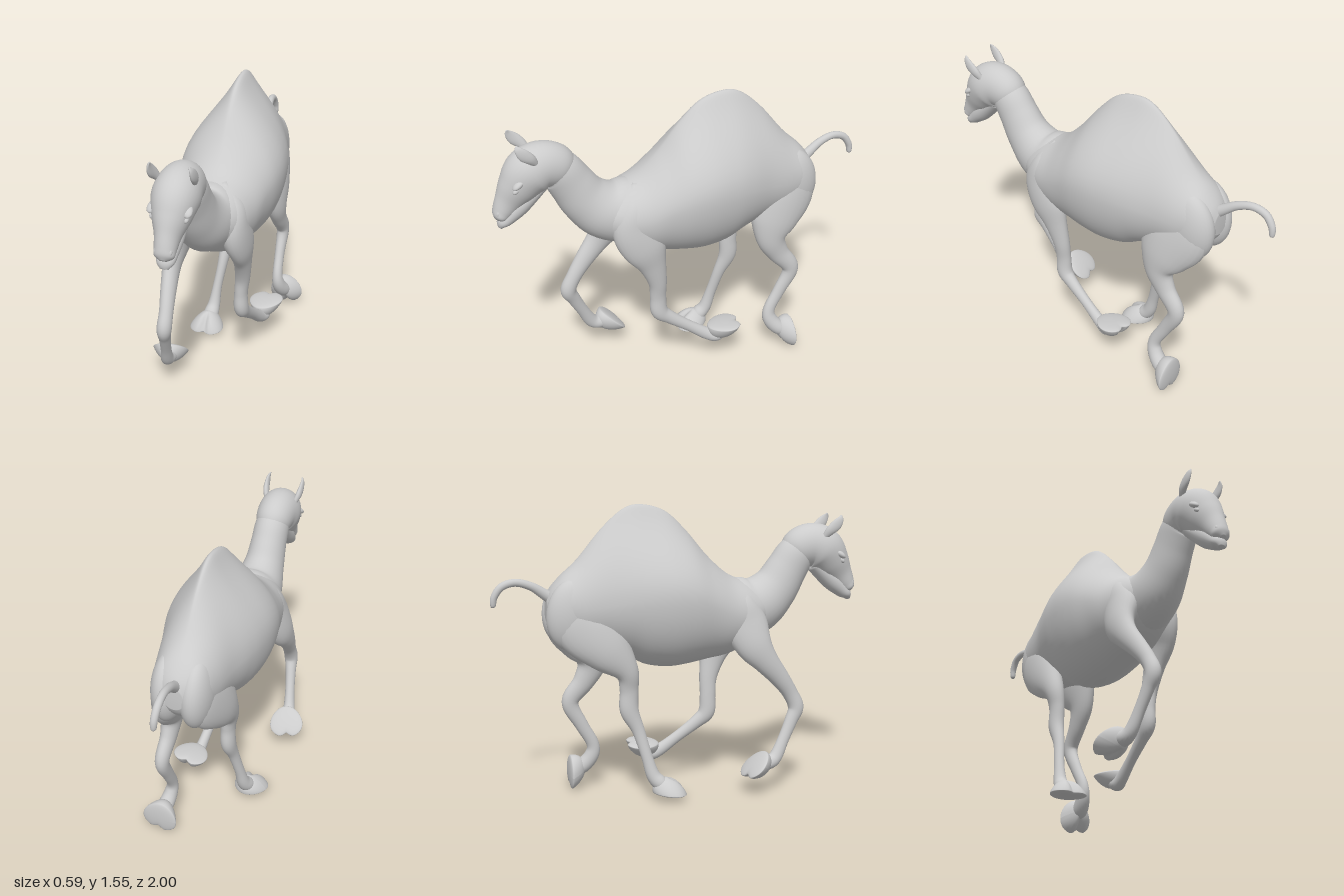
import * as THREE from 'three';

const material = new THREE.MeshStandardMaterial({ color: 0xcccccc, roughness: 0.8 });
const CX = 0.018; // centre line of trunk and head

// Catmull-Rom interpolation of whole rows of numbers
function refine(rows, steps) {
  const out = [];
  const at = (i) => rows[Math.max(0, Math.min(rows.length - 1, i))];
  for (let i = 0; i < rows.length - 1; i++) {
    for (let k = 0; k < steps; k++) {
      const t = k / steps;
      out.push(rows[i].map((b, c) => {
        const a = at(i - 1)[c], d = at(i + 1)[c], e = at(i + 2)[c];
        return 0.5 * (2 * b + (d - a) * t + (2 * a - 5 * b + 4 * d - e) * t * t
          + (3 * b - a - 3 * d + e) * t * t * t);
      }));
    }
  }
  out.push(rows[rows.length - 1]);
  return out;
}

// Closed smooth skin over rings of points
function skin(name, rings) {
  const n = rings[0].length, pos = [], idx = [];
  rings.forEach((r) => r.forEach((p) => pos.push(p.x, p.y, p.z)));
  for (let i = 0; i < rings.length - 1; i++) {
    for (let j = 0; j < n; j++) {
      const a = i * n + j, b = i * n + (j + 1) % n;
      idx.push(a, b, a + n, b, b + n, a + n);
    }
  }
  [0, rings.length - 1].forEach((ri) => {
    const c = new THREE.Vector3();
    rings[ri].forEach((p) => c.addScaledVector(p, 1 / n));
    const ci = pos.length / 3;
    pos.push(c.x, c.y, c.z);
    for (let j = 0; j < n; j++) {
      const a = ri * n + j, b = ri * n + (j + 1) % n;
      if (ri === 0) idx.push(ci, b, a); else idx.push(ci, a, b);
    }
  });
  const geo = new THREE.BufferGeometry();
  geo.setAttribute('position', new THREE.Float32BufferAttribute(pos, 3));
  geo.setIndex(idx);
  geo.computeVertexNormals();
  const mesh = new THREE.Mesh(geo, material);
  mesh.name = name;
  return mesh;
}

// Limb from rows [x, y, z, sideways radius, fore-aft radius]
function limb(name, rows, sides = 24) {
  const fine = refine(rows, 6);
  const pts = fine.map((r) => new THREE.Vector3(r[0], r[1], r[2]));
  return skin(name, fine.map((r, i) => {
    const t = pts[Math.min(i + 1, pts.length - 1)].clone().sub(pts[Math.max(i - 1, 0)]).normalize();
    const side = new THREE.Vector3(1, 0, 0).addScaledVector(t, -t.x).normalize();
    const nrm = t.clone().cross(side);
    return Array.from({ length: sides }, (_, j) => {
      const a = j / sides * Math.PI * 2;
      return pts[i].clone()
        .addScaledVector(side, Math.cos(a) * Math.max(r[3], 0.003))
        .addScaledVector(nrm, Math.sin(a) * Math.max(r[4], 0.003));
    });
  }));
}

// Trunk from rows [z, top, bottom, widest height, half width, ridge sharpness]
function trunk(rows) {
  const n = 64;
  return skin('trunk', refine(rows, 6).map(([z, top, bot, mid, hw, p]) =>
    Array.from({ length: n }, (_, j) => {
      const a = j / n * Math.PI * 2, c = Math.cos(a), s = Math.sin(a);
      const ridge = 0.72 * Math.sign(c) * Math.pow(Math.abs(c), p) + 0.28 * c;
      return new THREE.Vector3(CX + hw * (s > 0 ? ridge : c), mid + s * (s > 0 ? top - mid : mid - bot), z);
    })));
}

// Broad two-toed pad: domed above, flat below, notched between the toes
function foot(name, centre, up, forward) {
  const geo = new THREE.SphereGeometry(1, 32, 24);
  const p = geo.attributes.position;
  for (let i = 0; i < p.count; i++) {
    const x = p.getX(i), y = p.getY(i), z = p.getZ(i);
    const groove = Math.exp(-((x / 0.2) ** 2)) * Math.max(z, 0);
    const dome = y > 0 ? 0.08 * y ** 1.15 * (1 - 0.5 * groove) : 0.016 * y;
    const width = (0.094 + 0.016 * z) * (1 - 0.25 * Math.max(y, 0));
    p.setXYZ(i, x * width, dome, z * 0.092 * (1 - 0.28 * groove) - Math.max(y, 0) * 0.02);
  }
  geo.computeVertexNormals();
  const mesh = new THREE.Mesh(geo, material);
  const f = new THREE.Vector3(...forward).normalize();
  const side = new THREE.Vector3(...up).cross(f).normalize();
  mesh.quaternion.setFromRotationMatrix(new THREE.Matrix4().makeBasis(side, f.clone().cross(side), f));
  mesh.position.set(...centre);
  mesh.name = name;
  return mesh;
}

function blob(name, centre, size, rotation = [0, 0, 0]) {
  const mesh = new THREE.Mesh(new THREE.SphereGeometry(1, 32, 20), material);
  mesh.position.set(...centre);
  mesh.scale.set(...size);
  mesh.rotation.set(...rotation);
  mesh.name = name;
  return mesh;
}

export function createModel() {
  const g = new THREE.Group();
  g.name = 'runningCamel';

  // Trunk with hump, and the pad under the chest
  g.add(trunk([
    [-0.715, 1.08, 0.96, 1.01, 0.05, 1], [-0.69, 1.13, 0.92, 1.02, 0.1, 1],
    [-0.64, 1.19, 0.87, 1.03, 0.142, 1], [-0.55, 1.275, 0.82, 1.03, 0.167, 1.4],
    [-0.42, 1.43, 0.8, 1.05, 0.195, 2.4],
    [-0.3, 1.53, 0.76, 1.07, 0.233, 3.6], [-0.2, 1.547, 0.71, 1.08, 0.257, 4],
    [-0.08, 1.51, 0.69, 1.08, 0.27, 3.6], [0.03, 1.41, 0.7, 1.06, 0.262, 2.4],
    [0.14, 1.28, 0.72, 1.02, 0.235, 1.6], [0.25, 1.18, 0.74, 0.97, 0.208, 1.1],
    [0.36, 1.13, 0.79, 0.96, 0.178, 1], [0.46, 1.08, 0.87, 0.98, 0.115, 1],
    [0.52, 1.03, 0.93, 0.98, 0.03, 1]]));
  g.add(blob('chestPad', [CX, 0.82, 0.23], [0.09, 0.075, 0.16], [-0.4, 0, 0]));

  // Neck, head and lower jaw
  g.add(limb('neck', [
    [CX, 0.975, 0.14, 0.1, 0.13], [CX, 0.975, 0.3, 0.15, 0.174], [CX, 1.0, 0.43, 0.137, 0.157],
    [CX, 1.08, 0.53, 0.11, 0.13], [CX, 1.18, 0.597, 0.097, 0.115],
    [CX, 1.265, 0.655, 0.093, 0.106], [CX, 1.3, 0.72, 0.08, 0.09]], 32));
  g.add(limb('head', [
    [CX, 1.26, 0.6, 0.05, 0.05], [CX, 1.285, 0.645, 0.09, 0.1], [CX, 1.31, 0.73, 0.106, 0.12],
    [CX, 1.285, 0.805, 0.112, 0.125], [CX, 1.215, 0.867, 0.09, 0.102], [CX, 1.15, 0.915, 0.062, 0.074],
    [CX, 1.1, 0.95, 0.052, 0.054], [CX, 1.072, 0.97, 0.046, 0.038], [CX, 1.056, 0.982, 0.015, 0.015]], 32));
  g.add(limb('lowerJaw', [
    [CX, 1.215, 0.75, 0.06, 0.04], [CX, 1.12, 0.86, 0.058, 0.052], [CX, 1.065, 0.922, 0.05, 0.042],
    [CX, 1.035, 0.956, 0.042, 0.03], [CX, 1.01, 0.97, 0.02, 0.012]]));

  // Paired face parts and haunches
  for (const s of [1, -1]) {
    const n = s > 0 ? 'left' : 'right';
    g.add(blob(n + 'Eye', [CX + s * 0.074, 1.235, 0.888], [0.017, 0.014, 0.025], [0.7, s * 0.4, 0]));
    g.add(blob(n + 'Brow', [CX + s * 0.076, 1.27, 0.872], [0.028, 0.018, 0.045], [0.6, s * 0.4, 0]));
    g.add(blob(n + 'Nostril', [CX + s * 0.026, 1.11, 0.975], [0.016, 0.026, 0.012], [-0.4, 0, s * 0.4]));
    g.add(limb(n + 'Ear', [
      [CX + s * 0.082, 1.36, 0.785, 0.013, 0.015], [CX + s * 0.095, 1.395, 0.812, 0.016, 0.026],
      [CX + s * 0.1, 1.425, 0.845, 0.013, 0.03], [CX + s * 0.099, 1.455, 0.868, 0.008, 0.019],
      [CX + s * 0.092, 1.475, 0.876, 0.003, 0.004]], 16));
    g.add(blob(n + 'Haunch', [CX + s * 0.074, 1.0, -0.585], [0.083, 0.19, 0.14], [0.15, 0, 0]));
  }

  // Forelegs
  g.add(limb('leftForeleg', [
    [0.07, 1.14, 0.27, 0.02, 0.03], [0.115, 1.03, 0.3, 0.075, 0.09], [0.14, 0.92, 0.31, 0.075, 0.122],
    [0.163, 0.81, 0.27, 0.058, 0.115],
    [0.16, 0.7, 0.23, 0.045, 0.075], [0.15, 0.58, 0.2, 0.039, 0.05], [0.14, 0.48, 0.195, 0.035, 0.044],
    [0.14, 0.385, 0.188, 0.038, 0.046], [0.145, 0.33, 0.13, 0.031, 0.036], [0.155, 0.25, 0.02, 0.026, 0.03],
    [0.165, 0.18, -0.08, 0.031, 0.035], [0.17, 0.165, -0.135, 0.042, 0.036], [0.17, 0.2, -0.18, 0.03, 0.02]]));
  g.add(limb('rightForeleg', [
    [-0.03, 1.14, 0.26, 0.02, 0.03], [-0.08, 1.03, 0.29, 0.075, 0.09], [-0.11, 0.92, 0.32, 0.075, 0.12],
    [-0.145, 0.81, 0.36, 0.06, 0.1],
    [-0.155, 0.72, 0.425, 0.046, 0.07], [-0.145, 0.62, 0.51, 0.04, 0.052], [-0.135, 0.53, 0.575, 0.036, 0.042],
    [-0.135, 0.45, 0.61, 0.038, 0.043], [-0.145, 0.38, 0.58, 0.03, 0.036], [-0.16, 0.28, 0.53, 0.027, 0.032],
    [-0.175, 0.19, 0.48, 0.032, 0.037], [-0.185, 0.165, 0.43, 0.042, 0.038], [-0.195, 0.165, 0.375, 0.03, 0.03]]));

  // Hind legs
  g.add(limb('leftHindLeg', [
    [0.06, 1.17, -0.49, 0.02, 0.03], [0.09, 1.07, -0.52, 0.062, 0.13], [0.108, 0.95, -0.525, 0.08, 0.185],
    [0.135, 0.81, -0.475, 0.073, 0.145], [0.15, 0.7, -0.455, 0.055, 0.085], [0.153, 0.6, -0.5, 0.042, 0.058],
    [0.16, 0.49, -0.575, 0.036, 0.046], [0.16, 0.36, -0.515, 0.028, 0.036], [0.165, 0.25, -0.455, 0.028, 0.034],
    [0.172, 0.18, -0.46, 0.036, 0.04], [0.185, 0.12, -0.51, 0.042, 0.042], [0.19, 0.1, -0.56, 0.03, 0.03]]));
  g.add(limb('rightHindLeg', [
    [-0.03, 1.17, -0.49, 0.02, 0.03], [-0.055, 1.07, -0.515, 0.062, 0.13], [-0.075, 0.95, -0.51, 0.08, 0.18],
    [-0.105, 0.82, -0.42, 0.07, 0.13], [-0.11, 0.7, -0.325, 0.05, 0.065], [-0.1, 0.6, -0.31, 0.038, 0.05],
    [-0.1, 0.49, -0.31, 0.038, 0.05], [-0.11, 0.38, -0.265, 0.028, 0.034], [-0.13, 0.24, -0.225, 0.026, 0.03],
    [-0.14, 0.14, -0.195, 0.034, 0.036], [-0.147, 0.09, -0.155, 0.042, 0.04], [-0.15, 0.05, -0.11, 0.03, 0.02]]));

  // Feet, each turned with its stride
  g.add(foot('leftForefoot', [0.172, 0.226, -0.175], [0.1, -1, 0], [0.1, 0.05, -1]));
  g.add(foot('rightForefoot', [-0.2, 0.165, 0.357], [0.1, -0.7, 0.7], [-0.25, -0.7, -0.7]));
  g.add(foot('leftHindFoot', [0.19, 0.092, -0.572], [0, 0, 1], [0.18, -1, 0]));
  g.add(foot('rightHindFoot', [-0.152, 0.042, -0.107], [0, 1, 0.08], [-0.05, -0.08, 1]));

  // Tail
  g.add(limb('tail', [
    [CX, 1.06, -0.66, 0.03, 0.035], [0.01, 1.1, -0.72, 0.025, 0.028], [0, 1.145, -0.79, 0.021, 0.022],
    [-0.008, 1.168, -0.87, 0.019, 0.02], [-0.012, 1.15, -0.94, 0.019, 0.02],
    [-0.01, 1.1, -0.978, 0.018, 0.018], [-0.008, 1.055, -0.985, 0.014, 0.014],
    [-0.008, 1.045, -0.985, 0.004, 0.004]], 16));
  return g;
}
